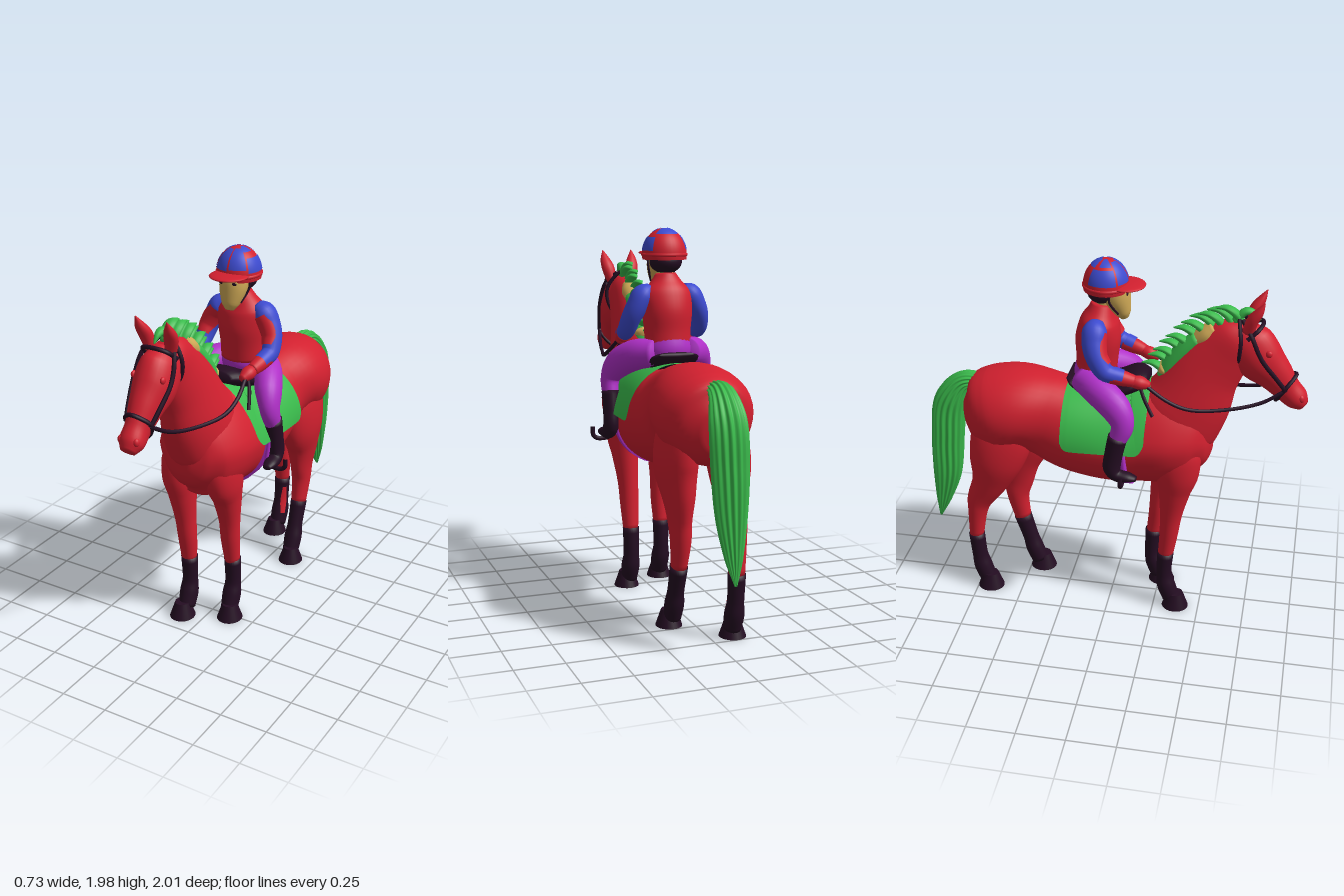
import * as THREE from 'three';

const mat = (name, color, side = THREE.FrontSide) => {
  const m = new THREE.MeshStandardMaterial({ color, side });
  m.name = name;
  return m;
};
const red = mat('red', 0xd2202f), green = mat('green', 0x3abb4c, THREE.DoubleSide);
const purple = mat('purple', 0xb030c8), blue = mat('blue', 0x3d4bd0);
const dark = mat('dark plum', 0x240d22), tan = mat('tan', 0xcfa956);

export function createModel() {
  const root = new THREE.Group();
  const add = (parent, name, geometry, material) => {
    const m = new THREE.Mesh(geometry, material);
    m.name = name;
    parent.add(m);
    return m;
  };
  const group = (name) => {
    const g = new THREE.Group();
    g.name = name;
    root.add(g);
    return g;
  };

  // Smooth loft through sections [x, y, z, half width, half depth, arc inset];
  // peak(z) narrows the upper half of a horizontal loft
  const loft = (pts, { n = 24, steps = 5, arc = null, ripple = 0, lobes = 12, peak = () => 0 } = {}) => {
    const path = new THREE.CatmullRomCurve3(pts.map(p => new THREE.Vector3(p[0], p[1], p[2])));
    const size = new THREE.CatmullRomCurve3(pts.map(p => new THREE.Vector3(p[3], p[4] ?? p[3], p[5] ?? 0)), false, 'catmullrom');
    const rows = (pts.length - 1) * steps, pos = [], idx = [];
    const [a0, a1] = arc ?? [0, Math.PI * 2], cols = arc ? n + 1 : n;
    for (let i = 0; i <= rows; i++) {
      const c = path.getPoint(i / rows), r = size.getPoint(i / rows), T = path.getTangent(i / rows);
      const S = new THREE.Vector3(1, 0, 0).addScaledVector(T, -T.x).normalize();
      const N = new THREE.Vector3().crossVectors(T, S);
      for (let j = 0; j < cols; j++) {
        const a = a0 + r.z + (a1 - a0 - 2 * r.z) * j / n, k = 1 + ripple * Math.cos(a * lobes + i * 0.06);
        const narrow = 1 - peak(c.z) * Math.max(0, Math.sin(a) * N.y);
        const v = c.clone().addScaledVector(S, Math.cos(a) * Math.max(r.x, 0.001) * k * narrow)
          .addScaledVector(N, Math.sin(a) * Math.max(r.y, 0.001) * k);
        pos.push(v.x, v.y, v.z);
      }
    }
    for (let i = 0; i < rows; i++) for (let j = 0; j < n; j++) {
      const a = i * cols + j, b = i * cols + (j + 1) % cols;
      idx.push(a, b, a + cols, b, b + cols, a + cols);
    }
    if (!arc) {
      const s = pos.length / 3, last = rows * cols;
      pos.push(...pts[0].slice(0, 3), ...pts[pts.length - 1].slice(0, 3));
      for (let j = 0; j < n; j++) {
        const k = (j + 1) % n;
        idx.push(s, k, j, s + 1, last + j, last + k);
      }
    }
    const g = new THREE.BufferGeometry();
    g.setAttribute('position', new THREE.Float32BufferAttribute(pos, 3));
    g.setIndex(idx);
    g.computeVertexNormals();
    return g;
  };
  const flip = (pts, s) => pts.map(([x, ...rest]) => [x * s, ...rest]);
  const strap = (pts, r, closed = false) => new THREE.TubeGeometry(
    new THREE.CatmullRomCurve3(pts.map(p => new THREE.Vector3(...p)), closed), 40, r, 8, closed);
  const ball = (parent, name, m, p, s) => {
    const b = add(parent, name, new THREE.SphereGeometry(1, 24, 16), m);
    b.position.set(...p);
    b.scale.set(...s);
  };

  // Horse body, neck and head
  const horse = group('horse');
  const withers = z => .3 * THREE.MathUtils.smoothstep(z, -.2, .2);
  add(horse, 'body', loft([
    [0, 1.04, .53, .04, .07], [0, 1.04, .495, .13, .17], [0, 1.05, .42, .198, .262], [0, 1.05, .3, .235, .285],
    [0, 1.04, .15, .24, .285], [0, 1.01, 0, .24, .265], [0, 1.03, -.2, .23, .25], [0, 1.085, -.35, .21, .235],
    [0, 1.12, -.5, .246, .22], [0, 1.09, -.62, .242, .23], [0, 1.06, -.72, .185, .2], [0, 1.05, -.785, .08, .1],
  ], { n: 40, peak: withers }), red);
  add(horse, 'neck', loft([
    [0, 1.02, .28, .15, .21], [0, 1.13, .33, .168, .238], [0, 1.235, .392, .155, .222], [0, 1.4, .47, .12, .183],
    [0, 1.52, .55, .098, .155], [0, 1.61, .62, .085, .12], [0, 1.66, .67, .055, .06],
  ], { n: 32 }), red);
  add(horse, 'head', loft([
    [0, 1.67, .635, .05, .06], [0, 1.6, .675, .09, .12], [0, 1.51, .74, .1, .123], [0, 1.435, .815, .08, .096],
    [0, 1.355, .885, .062, .072], [0, 1.3, .942, .062, .06], [0, 1.268, .974, .038, .034],
  ], { n: 32 }), red);
  for (const s of [1, -1]) {
    add(horse, 'ear', loft(flip([[.055, 1.67, .68, .028, .03], [.07, 1.74, .7, .036, .03],
      [.08, 1.79, .73, .026, .022], [.085, 1.84, .755, .002]], s), { n: 16 }), red);
    ball(horse, 'eye', red, [.08 * s, 1.57, .79], [.012, .018, .018]);
    ball(horse, 'nostril', red, [.042 * s, 1.32, .962], [.016, .022, .018]);
  }

  // Legs: red upper part, dark stocking and hoof
  const leg = (name, x, upper, lower, hoofZ) => {
    const g = group(name);
    const spread = y => 1 + Math.max(0, Math.min(y, .9) - .5) * .35 - Math.max(0, y - .9);
    const pts = list => list.map(([y, z, rx, rz]) => [x * spread(y), y, z, rx, rz]);
    add(g, 'upperLeg', loft(pts(upper)), red);
    add(g, 'stocking', loft(pts(lower)), dark);
    const hoof = add(g, 'hoof', new THREE.CylinderGeometry(.042, .073, .085, 24), dark);
    hoof.position.set(x * 1.1, .0425, hoofZ);
    hoof.scale.x = .93;
    return g;
  };
  const foreLower = z => [[.345, z, .045, .045], [.2, z - .005, .042, .041], [.13, z + .007, .05, .05], [.05, z + .035, .045, .048]];
  leg('leftForeleg', .105, [[1.12, .32, .05, .08], [.98, .32, .085, .13], [.86, .31, .085, .125], [.75, .28, .072, .09], [.6, .25, .056, .06],
    [.47, .235, .051, .05], [.33, .215, .041, .041]], foreLower(.213), .262);
  leg('rightForeleg', -.105, [[1.12, .34, .05, .08], [.98, .35, .085, .13], [.86, .36, .085, .115], [.75, .35, .072, .085], [.6, .335, .056, .06],
    [.47, .325, .051, .05], [.33, .31, .041, .041]], foreLower(.31), .372);
  leg('leftHindLeg', .11, [[1.18, -.55, .05, .08], [1.02, -.54, .095, .16], [.85, -.53, .1, .168], [.7, -.555, .077, .122], [.58, -.56, .057, .088],
    [.48, -.565, .052, .063], [.33, -.54, .04, .046]],
    [[.34, -.542, .045, .05], [.2, -.5, .042, .045], [.13, -.48, .05, .05], [.05, -.45, .045, .048]], -.43);
  const rightHind = leg('rightHindLeg', -.11, [[1.18, -.55, .05, .08], [1.02, -.57, .095, .16], [.85, -.61, .1, .148], [.7, -.655, .077, .1], [.57, -.72, .057, .07],
    [.48, -.738, .052, .052], [.33, -.752, .04, .039]],
    [[.34, -.752, .045, .044], [.2, -.74, .042, .043], [.13, -.727, .05, .05], [.05, -.7, .045, .048]], -.68);
  add(rightHind, 'stockingPatch', loft([[-.11, .29, -.749, .047, .047, .2], [-.11, .2, -.74, .045, .046], [-.11, .12, -.725, .052, .052, .2]],
    { n: 10, arc: [.3, 1.2] }), red);

  // Tail, crest, mane tufts and forelock
  add(horse, 'tail', loft([[0, 1.25, -.69, .045, .03], [0, 1.235, -.8, .06, .05], [0, 1.12, -.88, .085, .08],
    [0, .9, -.912, .085, .083], [0, .67, -.93, .07, .075], [0, .48, -.965, .04, .04], [0, .36, -.992, .006]],
    { n: 96, steps: 8, ripple: .08, lobes: 15 }), green);
  add(horse, 'crest', loft([[0, 1.34, .25, .05, .03], [0, 1.42, .295, .062, .052], [0, 1.52, .37, .062, .052], [0, 1.595, .44, .055, .045]]), green);
  add(horse, 'crestPatch', loft([[0, 1.57, .42, .052, .045], [0, 1.62, .475, .062, .048], [0, 1.66, .515, .045, .035]]), tan);
  add(horse, 'lowerCrestPatch', loft([[0, 1.385, .25, .035, .02], [0, 1.41, .268, .06, .04], [0, 1.43, .285, .045, .03]]), tan);
  const crest = new THREE.CatmullRomCurve3([[0, 1.72, .61], [0, 1.65, .47], [0, 1.52, .345], [0, 1.39, .25]].map(p => new THREE.Vector3(...p)));
  for (let i = 0; i < 11; i++) {
    const p = crest.getPoint(i / 10), x = (i % 2 ? 1 : -1) * .008;
    add(horse, 'maneTuft', loft([[0, p.y - .025, p.z + .035, .024, .018], [x, p.y + .025, p.z, .03, .019],
      [x, p.y + .05, p.z - .045, .026, .014], [x, p.y + .045, p.z - .1, .003]], { n: 14, ripple: .08, lobes: 5 }), green);
  }
  add(horse, 'forelock', loft([[0, 1.7, .61, .025, .02], [0, 1.755, .66, .026, .02], [0, 1.75, .7, .018, .015], [0, 1.715, .735, .004]], { n: 14 }), green);

  // Bridle and reins
  const tack = group('tack');
  add(tack, 'noseband', strap([[0, 1.435, .93], [.071, 1.38, .88], [0, 1.285, .835], [-.071, 1.38, .88]], .011, true), dark);
  add(tack, 'throatLatch', strap([[0, 1.73, .63], [.092, 1.63, .65], [.08, 1.53, .645], [0, 1.45, .65], [-.08, 1.53, .645], [-.092, 1.63, .65]], .01, true), dark);
  add(tack, 'browband', strap([[.088, 1.64, .68], [.065, 1.685, .73], [0, 1.7, .75], [-.065, 1.685, .73], [-.088, 1.64, .68]], .011), dark);
  for (const s of [1, -1]) {
    add(tack, 'cheekStrap', strap(flip([[.03, 1.72, .65], [.085, 1.66, .7], [.102, 1.55, .755], [.085, 1.44, .835], [.068, 1.37, .885]], s), .011), dark);
    add(tack, 'rein', strap(flip([[.068, 1.37, .88], [.1, 1.31, .77], [.14, 1.275, .6], [.185, 1.28, .42], [.19, 1.32, .31], [.17, 1.4, .18]], s), .01), dark);
    add(tack, 'reinEnd', strap(flip([[.16, 1.4, .16], [.19, 1.33, .19], [.215, 1.24, .24]], s), .009), dark);
  }

  // Saddlecloth with rounded corners, girth and saddle
  add(tack, 'saddlecloth', loft([[0, 1.02, -.23, .272, .282, .16], [0, 1.02, -.215, .272, .282, .05], [0, 1.02, -.19, .272, .282], [0, 1.02, -.05, .27, .28],
    [0, 1.022, .1, .265, .29], [0, 1.025, .16, .262, .305], [0, 1.03, .185, .26, .31, .05], [0, 1.03, .2, .26, .312, .18]],
    { n: 40, arc: [0, Math.PI], peak: withers }), green);
  add(tack, 'girth', loft([[0, 1.02, .04, .247, .287], [0, 1.025, .105, .247, .292]], { n: 40, steps: 2, peak: withers }), purple);
  add(tack, 'saddle', loft([[0, 1.355, .19, .08, .03], [0, 1.345, .13, .135, .05], [0, 1.3, .02, .15, .045], [0, 1.3, -.13, .14, .04],
    [0, 1.335, -.2, .125, .025], [0, 1.35, -.225, .09, .01]]), dark);

  // Rider torso and head
  const rider = group('rider');
  add(rider, 'hips', loft([[0, 1.29, -.09, .1, .09], [0, 1.36, -.09, .125, .11], [0, 1.43, -.085, .11, .1]]), purple);
  add(rider, 'jacket', loft([[0, 1.385, -.085, .122, .105], [0, 1.46, -.08, .122, .108], [0, 1.56, -.075, .132, .115],
    [0, 1.65, -.068, .13, .098], [0, 1.705, -.06, .085, .07], [0, 1.75, -.055, .052, .052]], { n: 32 }), red);
  add(rider, 'neck', new THREE.CylinderGeometry(.045, .045, .12, 20), tan).position.set(0, 1.76, -.045);
  add(rider, 'face', loft([[0, 1.672, .06, .022, .02], [0, 1.7, .052, .045, .04], [0, 1.76, .03, .068, .063], [0, 1.81, .012, .074, .076], [0, 1.85, 0, .07, .07]]), tan);
  ball(rider, 'hair', dark, [0, 1.81, -.055], [.085, .062, .075]);
  for (const s of [1, -1]) {
    ball(rider, 'eye', dark, [.034 * s, 1.815, .078], [.017, .008, .004]);
    add(rider, 'chinStrap', strap(flip([[.08, 1.84, 0], [.076, 1.78, -.005], [.05, 1.71, .035]], s), .006), dark);
  }

  // Helmet with blue panels [start, span, top, height] in half turns, and a peak
  const helmet = group('helmet');
  helmet.position.set(0, 1.845, -.035);
  helmet.scale.set(1, 1.17, 1);
  add(helmet, 'shell', new THREE.SphereGeometry(.115, 32, 16, 0, Math.PI * 2, 0, Math.PI * .56), red);
  const panels = [[.23, .25, .12, .31], [.51, .26, .1, .31], [.8, .42, .27, .18], [-.22, .42, .24, .2], [1.2, .6, .05, .17], [-.1, .28, .04, .16], [.75, .3, .05, .13]];
  for (const p of panels) {
    const [start, span, top, height] = p.map(v => v * Math.PI);
    add(helmet, 'bluePanel', new THREE.SphereGeometry(.117, 20, 10, start, span, top, height), blue);
  }
  add(helmet, 'rim', new THREE.TorusGeometry(.112, .008, 8, 40), red).rotation.x = Math.PI / 2;
  ball(helmet, 'peak', red, [0, .005, .1], [.1, .013, .1]);

  // Arms, legs, boots and stirrups
  for (const s of [1, -1]) {
    add(rider, 'sleeve', loft(flip([[.085, 1.675, -.065, .03, .035], [.125, 1.645, -.068, .056, .062], [.158, 1.59, -.067, .055, .061], [.185, 1.53, -.05, .05, .055],
      [.198, 1.46, -.005, .045, .048], [.193, 1.44, .05, .04, .04]], s)), blue);
    const mid = Math.PI * (.5 + .06 * s);
    add(rider, 'sleeveFront', loft(flip([[.13, 1.635, -.068, .06, .066, .25], [.158, 1.59, -.067, .059, .065], [.185, 1.53, -.05, .054, .059], [.194, 1.485, -.02, .049, .053, .3]], s),
      { arc: [mid - 1, mid + 1] }), red);
    add(rider, 'forearm', loft(flip([[.195, 1.443, .025, .042], [.185, 1.425, .09, .039], [.175, 1.41, .14, .03]], s)), red);
    add(rider, 'cuff', loft(flip([[.196, 1.446, .035, .043], [.188, 1.432, .08, .041]], s), { arc: [0, Math.PI] }), blue);
    add(rider, 'hand', loft(flip([[.175, 1.41, .13, .03], [.168, 1.4, .17, .036, .034], [.16, 1.385, .215, .018]], s)), red);
    add(rider, 'thigh', loft(flip([[.08, 1.35, -.14, .07], [.16, 1.335, -.05, .075, .08], [.225, 1.275, .055, .068, .078],
      [.255, 1.2, .095, .05, .06], [.262, 1.11, .07, .042, .045]], s)), purple);
    add(rider, 'boot', loft(flip([[.262, 1.135, .073, .046, .05], [.265, 1.03, .052, .042, .047], [.27, .95, .045, .04, .046],
      [.275, .915, .07, .036, .035], [.28, .91, .13, .035, .024], [.282, .905, .172, .02, .012]], s)), dark);
    add(tack, 'stirrup', strap(flip([[.235, .9, .1], [.27, .882, .1], [.33, .882, .1], [.35, .9, .1], [.352, .945, .1]], s), .012), dark);
    add(tack, 'stirrupLeather', strap(flip([[.25, 1.1, .09], [.25, 1, .095], [.24, .9, .1]], s), .012), purple);
  }
  return root;
}
